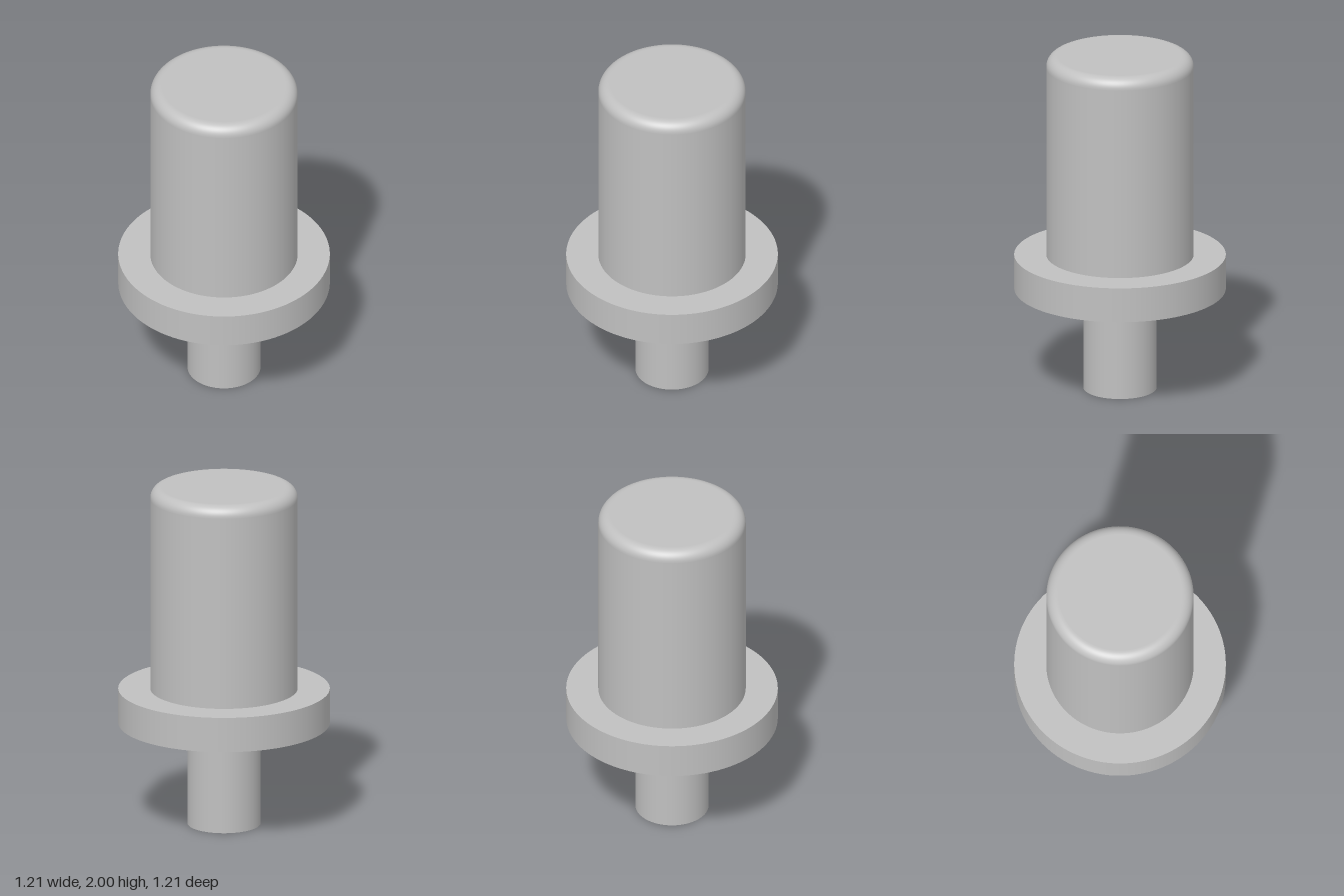
import * as THREE from 'three';

const SEGMENTS = 96;

export function createModel() {
  const group = new THREE.Group();
  group.name = 'flangedPin';
  const grey = new THREE.MeshStandardMaterial({ color: 0xc0c0c0 });
  grey.name = 'plain grey';

  const add = (name, geometry, y = 0) => {
    const mesh = new THREE.Mesh(geometry, grey);
    mesh.name = name;
    mesh.position.y = y;
    group.add(mesh);
  };
  const disc = (name, radius, bottom, top) =>
    add(name, new THREE.CylinderGeometry(radius, radius, top - bottom, SEGMENTS), (bottom + top) / 2);

  // Narrow shank and wide collar
  disc('shank', 0.209, 0, 0.6);
  disc('collar', 0.604, 0.598, 0.802);

  // Body with a rounded top edge; extra points keep the flat areas crisp
  const radius = 0.421, top = 2, fillet = 0.065, steps = 12;
  const profile = [
    new THREE.Vector2(radius, 0.8),
    new THREE.Vector2(radius, top - fillet - 0.003),
  ];
  for (let i = 0; i <= steps; i++) {
    const a = (i / steps) * Math.PI / 2;
    profile.push(new THREE.Vector2(
      radius - fillet + fillet * Math.cos(a),
      top - fillet + fillet * Math.sin(a)));
  }
  profile.push(new THREE.Vector2(radius - fillet - 0.003, top), new THREE.Vector2(0, top));
  add('body', new THREE.LatheGeometry(profile, SEGMENTS));

  return group;
}
